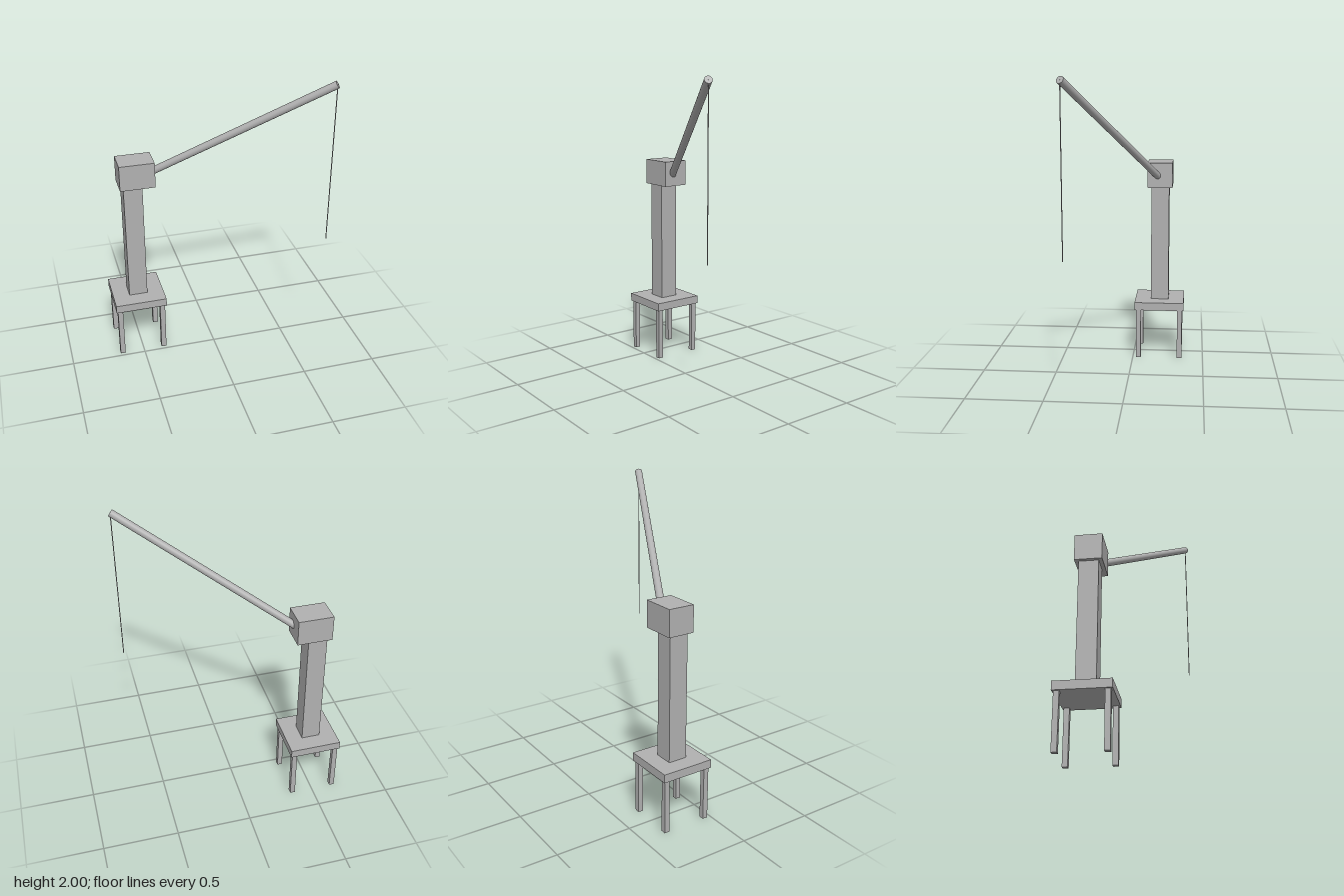
import * as THREE from 'three';

export function createModel() {
  const crane = new THREE.Group();
  crane.name = 'crane';
  const grey = new THREE.MeshStandardMaterial({ color: 0xb0b0b0 });
  grey.name = 'plain grey';

  const add = (name, geometry) => {
    const mesh = new THREE.Mesh(geometry, grey);
    mesh.name = name;
    crane.add(mesh);
    return mesh;
  };
  // Box given by its plan centre, plan size and bottom and top heights
  const block = (name, x, z, width, depth, bottom, top) =>
    add(name, new THREE.BoxGeometry(width, top - bottom, depth))
      .position.set(x, (bottom + top) / 2, z);
  // Capped cylinder running between two points
  const rod = (name, from, to, radius, sides) => {
    const along = to.clone().sub(from);
    const mesh = add(name, new THREE.CylinderGeometry(radius, radius, along.length(), sides));
    mesh.position.copy(from).addScaledVector(along, 0.5);
    mesh.quaternion.setFromUnitVectors(new THREE.Vector3(0, 1, 0), along.normalize());
  };

  const cx = -0.504, cz = -0.186;

  // Stand: four legs under a square platform
  for (const sx of [-1, 1])
    for (const sz of [-1, 1])
      block('leg', cx + sx * 0.146, cz + sz * 0.146, 0.034, 0.034, 0, 0.354);
  block('platform', cx, cz, 0.347, 0.347, 0.354, 0.409);

  // Tower and machinery house
  block('tower', cx, cz, 0.125, 0.125, 0.409, 1.228);
  block('house', -0.475, cz, 0.231, 0.173, 1.228, 1.4);

  // Slanted boom and hanging cable
  const tip = new THREE.Vector3(0.656, 1.979, 0.336);
  rod('boom', new THREE.Vector3(-0.405, 1.289, -0.186), tip, 0.024, 32);
  rod('cable', tip, new THREE.Vector3(tip.x, 0.935, tip.z), 0.003, 12);

  return crane;
}
